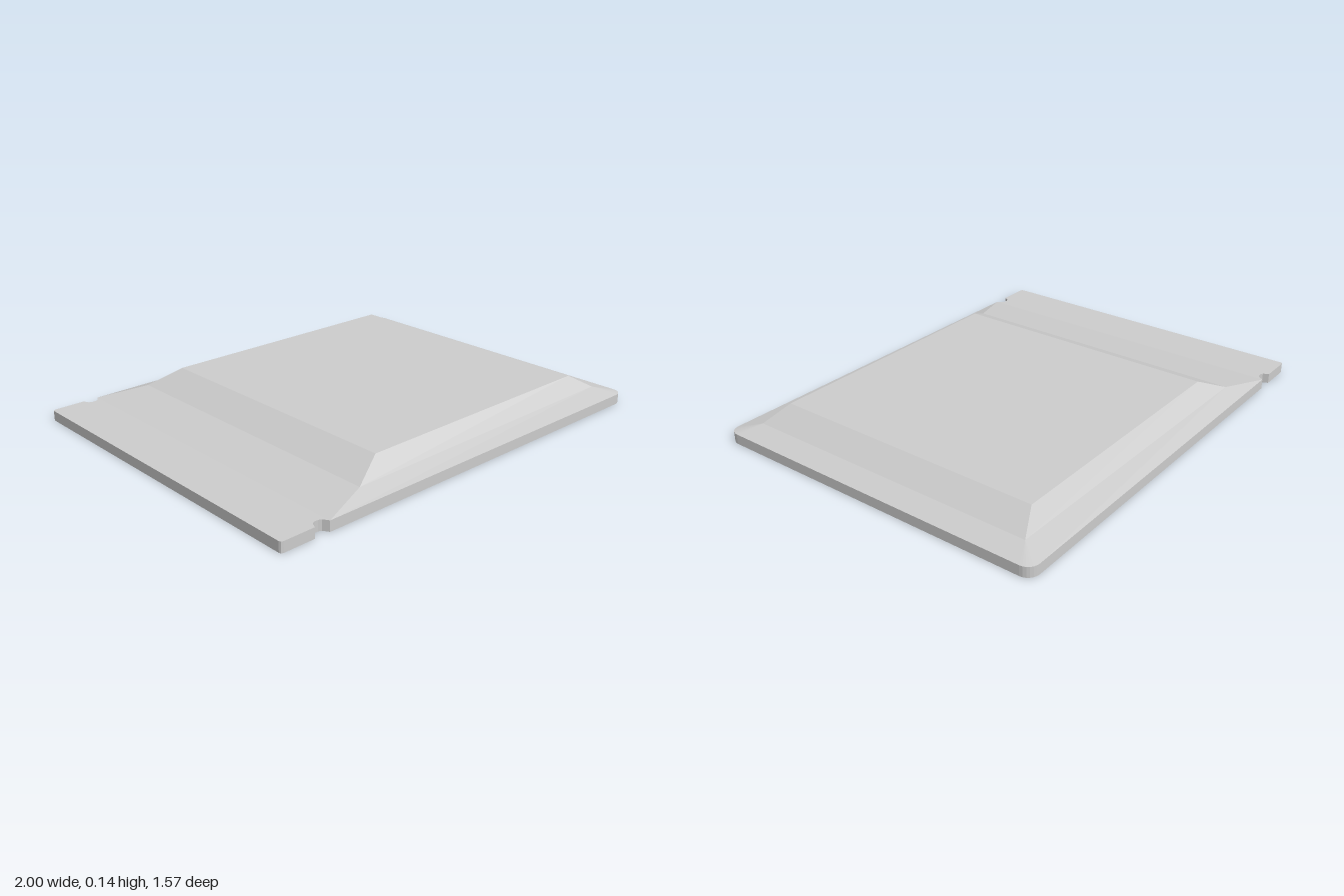
import * as THREE from 'three';

const BASE_H = 0.045;

// Front half of the slab edge to the right of the notch, ending in a rounded corner: [x, z]
function rightEdge() {
  const pts = [[-0.78, 0.775]];
  const r = 0.05;
  for (let i = 0; i <= 6; i++) {
    const a = (Math.PI / 2) * (1 - i / 6);
    pts.push([0.95 + r * Math.cos(a), 0.735 + r * Math.sin(a)]);
  }
  return pts;
}

// Completes a front half into a full ring, counterclockwise seen from above
const mirrorRing = (half) => [...half, ...half.map(([x, z]) => [x, -z]).reverse()];

// Thin slab with a pair of notches and rounded corners
function slabGeometry() {
  const half = [
    [-1, 0.763], [-0.997, 0.772], [-0.988, 0.775],
    [-0.85, 0.775], [-0.838, 0.75], [-0.825, 0.744], [-0.808, 0.744], [-0.795, 0.75],
    ...rightEdge(),
  ];
  const shape = new THREE.Shape(mirrorRing(half).map(([x, z]) => new THREE.Vector2(x, -z)));
  const geo = new THREE.ExtrudeGeometry(shape, { depth: BASE_H, bevelEnabled: false });
  return geo.rotateX(-Math.PI / 2);
}

// Faceted raised cover: three rings lofted together, with a flat top
function coverGeometry() {
  const edge = rightEdge();
  const inner = (left, right) => edge.map((p, i) => (i === 0 ? left : right));
  const rings = [
    [edge, BASE_H],
    [inner([-0.565, 0.697], [0.9, 0.685]), 0.07],
    [inner([-0.42, 0.63], [0.79, 0.63]), 0.135],
  ].map(([half, y]) => mirrorRing(half).map(([x, z]) => new THREE.Vector3(x, y, z)));

  const pos = [];
  const tri = (a, b, c) => {
    if (a.equals(b) || b.equals(c) || c.equals(a)) return;
    for (const p of [a, b, c]) pos.push(p.x, p.y, p.z);
  };
  const n = rings[0].length;
  for (let k = 0; k < 2; k++) {
    for (let i = 0; i < n; i++) {
      const j = (i + 1) % n;
      tri(rings[k][i], rings[k][j], rings[k + 1][j]);
      tri(rings[k][i], rings[k + 1][j], rings[k + 1][i]);
    }
  }
  const top = rings[2];
  for (let i = 1; i < n - 1; i++) tri(top[0], top[i], top[i + 1]);

  const geo = new THREE.BufferGeometry();
  geo.setAttribute('position', new THREE.Float32BufferAttribute(pos, 3));
  geo.computeVertexNormals();
  return geo;
}

export function createModel() {
  const grey = new THREE.MeshStandardMaterial({ color: 0xcccccc });
  grey.name = 'light grey';

  const group = new THREE.Group();
  group.name = 'coverPanel';
  const add = (name, geo) => {
    const mesh = new THREE.Mesh(geo, grey);
    mesh.name = name;
    group.add(mesh);
  };
  add('baseSlab', slabGeometry());
  add('raisedCover', coverGeometry());
  return group;
}
